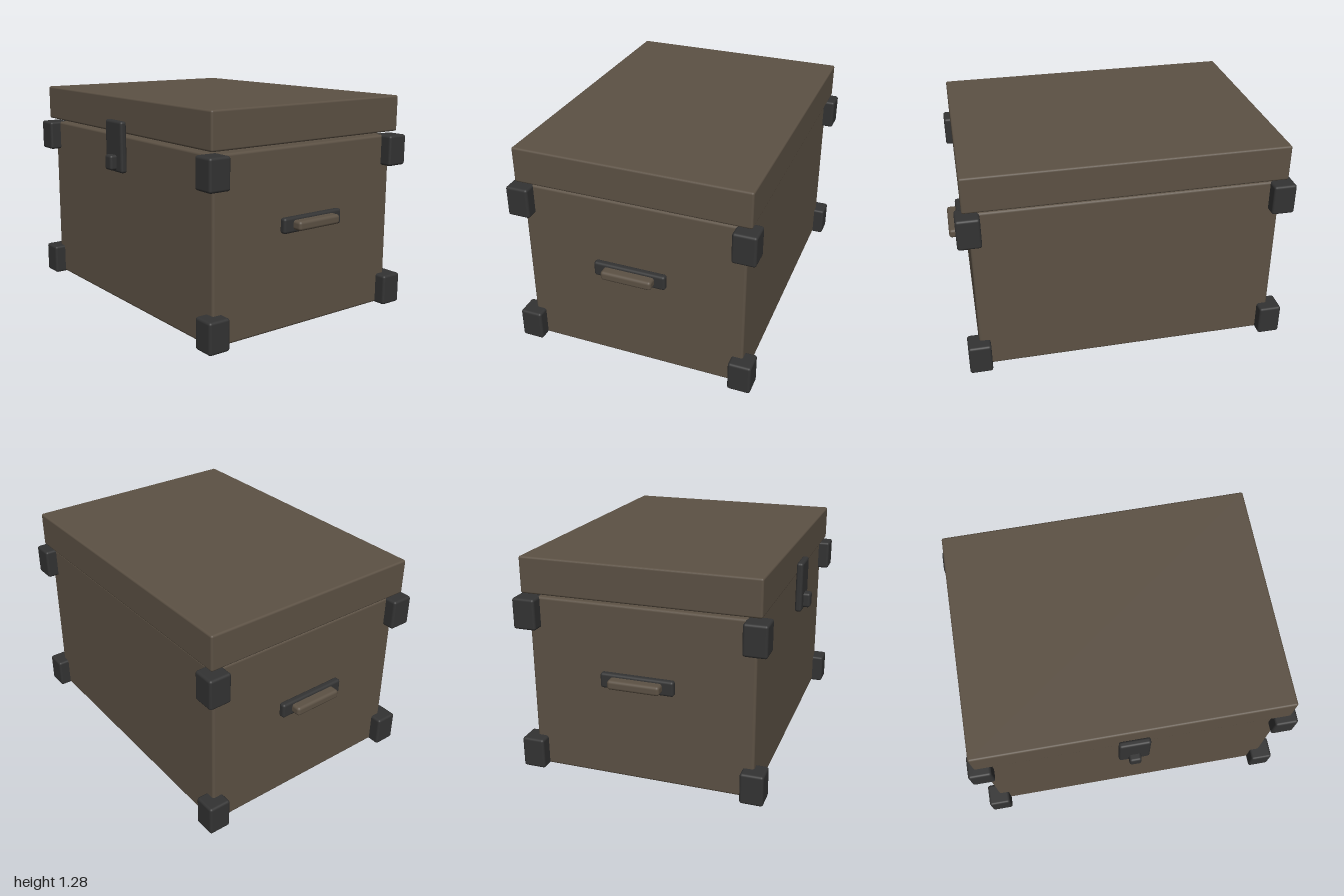
import * as THREE from 'three';
import { RoundedBoxGeometry } from 'three/addons/geometries/RoundedBoxGeometry.js';

const brown = new THREE.MeshStandardMaterial({ color: 0x5c5144 });
brown.name = 'brown';
const darkMetal = new THREE.MeshStandardMaterial({ color: 0x333333 });
darkMetal.name = 'dark metal';

// Rounded box given by its extents on each axis
function block(name, material, [x0, x1], [y0, y1], [z0, z1], radius) {
  const geometry = new RoundedBoxGeometry(x1 - x0, y1 - y0, z1 - z0, 3, radius);
  const mesh = new THREE.Mesh(geometry, material);
  mesh.name = name;
  mesh.position.set((x0 + x1) / 2, (y0 + y1) / 2, (z0 + z1) / 2);
  return mesh;
}

export function createModel() {
  const model = new THREE.Group();
  model.name = 'storageChest';

  // Body and the lid raised just above it
  model.add(block('body', brown, [-0.89, 0.89], [0.003, 1.045], [-0.678, 0.64], 0.015));
  model.add(block('lid', brown, [-0.92, 0.92], [1.066, 1.278], [-0.708, 0.67], 0.012));

  // Eight corner guards
  const corners = new THREE.Group();
  corners.name = 'cornerGuards';
  for (const x of [[-0.96, -0.826], [0.826, 0.96]])
    for (const y of [[0, 0.184], [0.864, 1.046]])
      for (const z of [[-0.746, -0.61], [0.575, 0.71]])
        corners.add(block('cornerGuard', darkMetal, x, y, z, 0.015));
  model.add(corners);

  // Latch plate with its catch
  const latch = new THREE.Group();
  latch.name = 'latch';
  latch.add(block('latchPlate', darkMetal, [-0.092, 0.092], [0.836, 1.14], [0.667, 0.708], 0.015));
  latch.add(block('latchCatch', darkMetal, [-0.036, 0.036], [0.85, 0.94], [0.69, 0.748], 0.015));
  model.add(latch);

  // Side handles: mounting plate and grip
  for (const s of [-1, 1]) {
    const side = (a, b) => (s > 0 ? [a, b] : [-b, -a]);
    const handle = new THREE.Group();
    handle.name = s > 0 ? 'leftHandle' : 'rightHandle';
    handle.add(block('handlePlate', darkMetal, side(0.904, 0.946), [0.572, 0.661], [-0.234, 0.196], 0.015));
    handle.add(block('handleGrip', brown, side(0.93, 1), [0.59, 0.645], [-0.172, 0.132], 0.017));
    model.add(handle);
  }
  return model;
}
